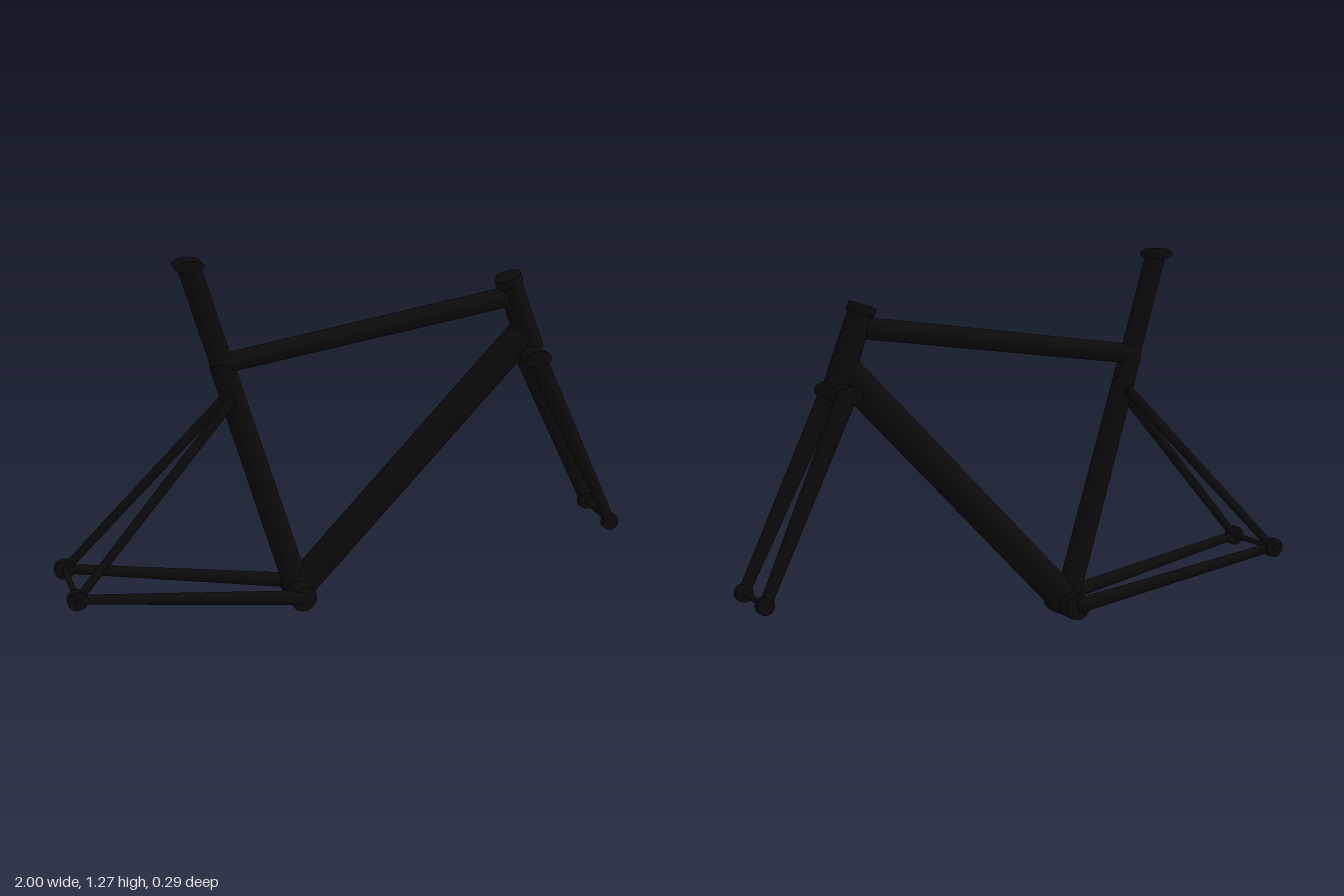
import * as THREE from 'three';

const SEG = 28;

export function createModel() {
  const group = new THREE.Group();
  const black = new THREE.MeshStandardMaterial({ color: 0x0b0b0b });
  black.name = 'satin black';

  const add = (name, geometry) => {
    const mesh = new THREE.Mesh(geometry, black);
    mesh.name = name;
    group.add(mesh);
    return mesh;
  };

  // Tapered tube from a to b; flat narrows the section sideways (towards z)
  const tube = (name, a, b, r0, r1, flat = 1) => {
    const start = new THREE.Vector3(...a);
    const end = new THREE.Vector3(...b);
    const y = end.clone().sub(start);
    const length = y.length();
    y.normalize();
    const x = y.clone().cross(new THREE.Vector3(0, 0, 1)).normalize();
    const z = x.clone().cross(y);
    const geometry = new THREE.CylinderGeometry(r1, r0, length, SEG);
    geometry.scale(1, 1, flat);
    const mesh = add(name, geometry);
    mesh.quaternion.setFromRotationMatrix(new THREE.Matrix4().makeBasis(x, y, z));
    mesh.position.copy(start).add(end).multiplyScalar(0.5);
  };

  // Crosswise cylinder with an elliptical section
  const cross = (name, x, y, z, rx, ry, width) => {
    const geometry = new THREE.CylinderGeometry(1, 1, width, SEG);
    geometry.rotateX(Math.PI / 2);
    geometry.scale(rx, ry, 1);
    add(name, geometry).position.set(x, y, z);
  };

  // Main triangle
  tube('seatTube', [-0.177, 0.05, 0], [-0.432, 0.915, 0], 0.045, 0.041, 0.7);
  tube('topTube', [-0.43, 0.907, 0], [0.61, 1.043, 0], 0.034, 0.036, 0.85);
  tube('downTube', [-0.176, 0.052, 0], [0.645, 0.903, 0], 0.056, 0.056, 0.8);
  tube('headTube', [0.675, 0.846, 0], [0.589, 1.089, 0], 0.046, 0.041);
  tube('headsetCap', [0.59, 1.085, 0], [0.58, 1.113, 0], 0.047, 0.047);
  cross('bottomBracket', -0.177, 0.046, 0, 0.046, 0.046, 0.166);

  // Seat post and saddle clamp
  tube('seatPost', [-0.41, 0.845, 0], [-0.53, 1.253, 0], 0.038, 0.038, 0.64);
  cross('saddleClamp', -0.531, 1.253, 0, 0.048, 0.019, 0.06);

  // Fork crown and axles
  cross('forkCrown', 0.667, 0.834, 0, 0.046, 0.03, 0.194);
  cross('frontAxle', 0.968, 0.187, 0, 0.01, 0.01, 0.224);
  cross('rearAxle', -0.966, 0.187, 0, 0.01, 0.01, 0.292);

  // Paired blades, stays and dropouts
  for (const [side, s] of [['left', 1], ['right', -1]]) {
    // The model's front faces +z, so its sides here run along z
    const near = side === 'left' ? 'near' : 'far';
    tube(near + 'ForkBlade', [0.667, 0.834, s * 0.07], [0.966, 0.19, s * 0.1], 0.035, 0.02, 0.65);
    cross(near + 'FrontDropout', 0.968, 0.187, s * 0.1, 0.03, 0.03, 0.022);
    tube(near + 'ChainStay', [-0.177, 0.047, s * 0.073], [-0.962, 0.188, s * 0.122], 0.027, 0.017, 0.7);
    tube(near + 'SeatStay', [-0.4, 0.79, s * 0.026], [-0.962, 0.19, s * 0.12], 0.018, 0.015, 0.8);
    cross(near + 'RearDropout', -0.966, 0.187, s * 0.123, 0.034, 0.034, 0.026);
  }

  return group;
}
